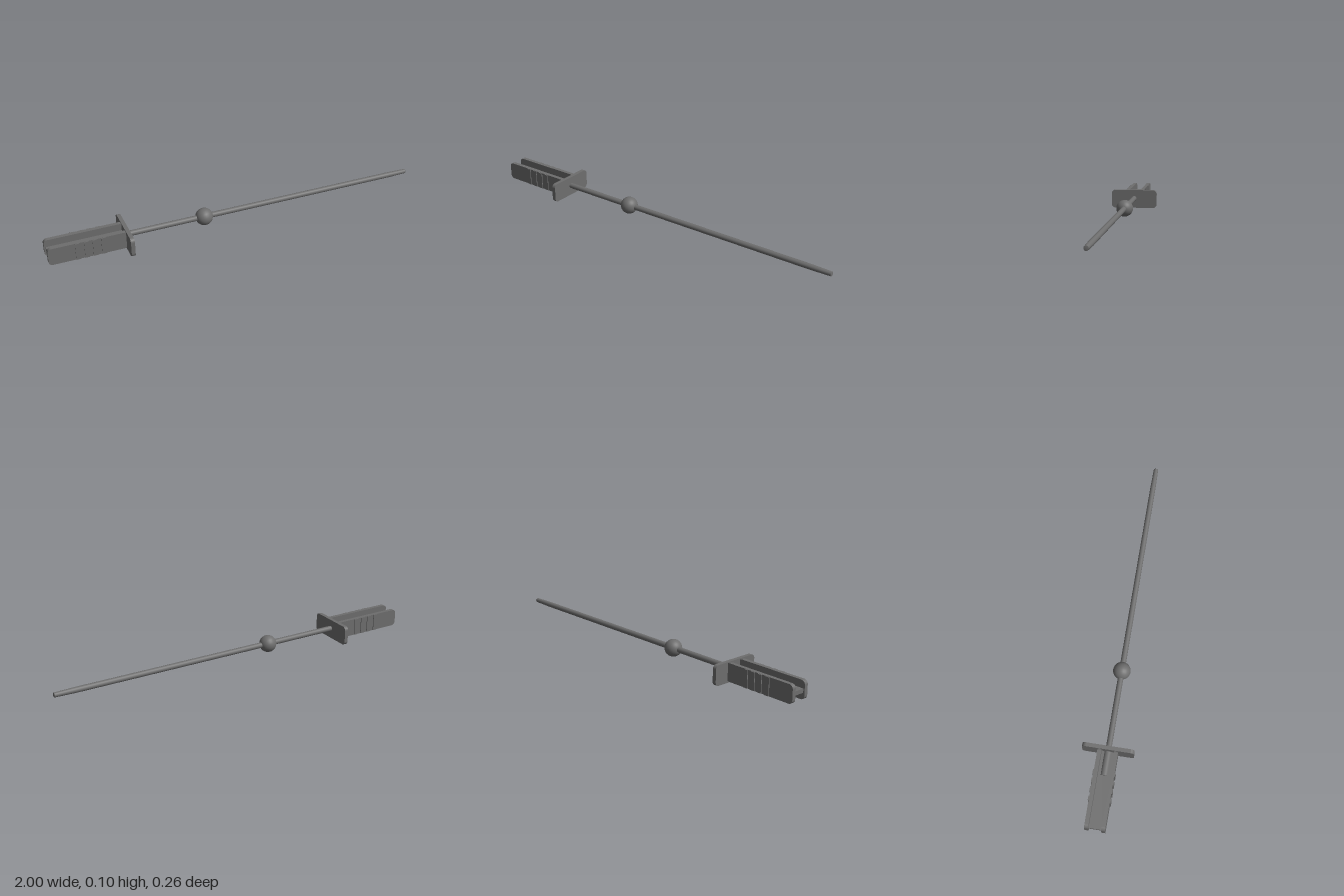
import * as THREE from 'three';

const material = new THREE.MeshStandardMaterial({ color: 0x6e6e6e });
const AXIS_Y = 0.052;

function add(parent, name, geometry, x = 0, y = 0, z = 0) {
  const mesh = new THREE.Mesh(geometry, material);
  mesh.name = name;
  mesh.position.set(x, y, z);
  parent.add(mesh);
  return mesh;
}

// Rounded rectangle plate, centred, with its thickness along z
function roundedPlate(width, height, depth, r) {
  const w = width / 2, h = height / 2;
  const shape = new THREE.Shape();
  shape.moveTo(-w + r, -h);
  shape.lineTo(w - r, -h);
  shape.absarc(w - r, -h + r, r, -Math.PI / 2, 0);
  shape.lineTo(w, h - r);
  shape.absarc(w - r, h - r, r, 0, Math.PI / 2);
  shape.lineTo(-w + r, h);
  shape.absarc(-w + r, h - r, r, Math.PI / 2, Math.PI);
  shape.lineTo(-w, -h + r);
  shape.absarc(-w + r, -h + r, r, Math.PI, Math.PI * 1.5);
  const geometry = new THREE.ExtrudeGeometry(shape, { depth, bevelEnabled: false, curveSegments: 6 });
  return geometry.translate(0, 0, -depth / 2);
}

export function createModel() {
  const model = new THREE.Group();

  // Grip: two side plates joined by a thin web
  const grip = new THREE.Group();
  grip.name = 'grip';
  model.add(grip);
  for (const side of [-1, 1]) {
    add(grip, 'gripSide', roundedPlate(0.4, 0.092, 0.02, 0.02), -0.8, AXIS_Y + 0.002, side * 0.041);
    // Raised finger ribs
    for (const x of [-0.855, -0.81, -0.768, -0.725]) {
      add(grip, 'gripRib', new THREE.BoxGeometry(0.022, 0.09, 0.007), x, AXIS_Y + 0.002, side * 0.052);
    }
  }
  add(grip, 'gripWeb', new THREE.BoxGeometry(0.385, 0.02, 0.066), -0.8, AXIS_Y, 0);

  // Socket holding the rod inside the grip
  const socket = new THREE.CylinderGeometry(0.02, 0.02, 0.13, 16).rotateZ(-Math.PI / 2);
  add(grip, 'rodSocket', socket, -0.665, AXIS_Y, 0);

  // Guard plate across the rod
  const guard = roundedPlate(0.26, 0.103, 0.02, 0.02).rotateY(Math.PI / 2);
  add(model, 'guard', guard, -0.6, 0.0515, 0);

  // Rod with a slightly tapered tip
  const profile = [[0, -0.6], [0.0145, -0.6], [0.0145, 0.89], [0.012, 0.998], [0.011, 1], [0, 1]];
  const rod = new THREE.LatheGeometry(profile.map(([r, x]) => new THREE.Vector2(r, x)), 16);
  add(model, 'rod', rod.rotateZ(-Math.PI / 2), 0, AXIS_Y + 0.002, 0);

  // Ball on the rod
  const ball = new THREE.SphereGeometry(0.045, 24, 16).rotateZ(Math.PI / 2);
  add(model, 'ball', ball, -0.183, AXIS_Y + 0.002, 0);

  return model;
}
